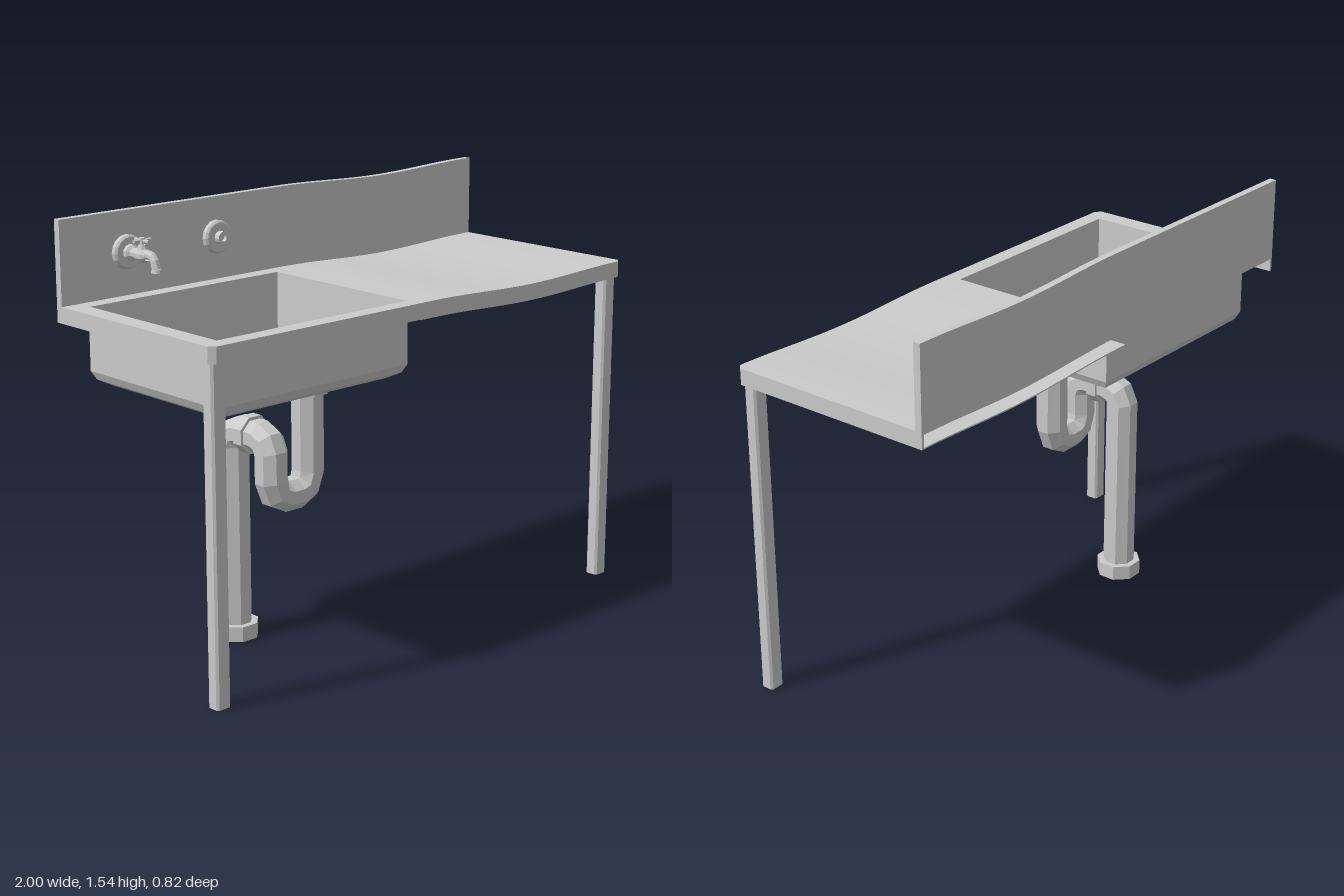
import * as THREE from 'three';

const mat = new THREE.MeshStandardMaterial({ color: 0xcccccc, flatShading: true, side: THREE.DoubleSide });
const OCT = 1 / Math.cos(Math.PI / 8);

function add(parent, name, geo, x = 0, y = 0, z = 0) {
  const m = new THREE.Mesh(geo, mat);
  m.name = name;
  m.position.set(x, y, z);
  parent.add(m);
  return m;
}

// Sag of the right half of the worktop, and chamfered front corners
function bend(geo) {
  const p = geo.attributes.position;
  for (let i = 0; i < p.count; i++) {
    const x = p.getX(i);
    if (x > 0) p.setY(i, p.getY(i) - 0.0075 * (1 - Math.cos(2 * Math.PI * x)));
    p.setZ(i, Math.min(p.getZ(i), 0.41 - Math.max(0, Math.abs(x) - 0.98)));
  }
  geo.computeVertexNormals();
  return geo;
}

// Box given by its limits, cut in x so that it can bend
function sheet(x0, x1, y0, y1, z0, z1, seg = Math.max(1, Math.round((x1 - x0) / 0.02))) {
  const g = new THREE.BoxGeometry(x1 - x0, y1 - y0, z1 - z0, seg, 1, 1);
  g.translate((x0 + x1) / 2, (y0 + y1) / 2, (z0 + z1) / 2);
  return bend(g);
}

const poly = (pts) => pts.map(([x, y]) => new THREE.Vector2(x, y));

// Plan outline (x, z) extruded upwards
function plan(outer, hole, h) {
  const s = new THREE.Shape(poly(outer.map(([x, z]) => [x, -z])));
  s.holes.push(new THREE.Path(poly(hole.map(([x, z]) => [x, -z]))));
  return new THREE.ExtrudeGeometry(s, { depth: h, bevelEnabled: false }).rotateX(-Math.PI / 2);
}

// Rectangular loft through [inset, height] sections
function rectLoft(hx, hz, sections) {
  const pos = [];
  const corners = [[1, 1], [1, -1], [-1, -1], [-1, 1]];
  const pt = ([inset, y], k) => {
    const [sx, sz] = corners[k % 4];
    return [sx * Math.max(0, hx - inset), y, sz * Math.max(0, hz - inset)];
  };
  for (let i = 0; i < sections.length - 1; i++) {
    for (let k = 0; k < 4; k++) {
      const a = pt(sections[i], k), b = pt(sections[i], k + 1);
      const c = pt(sections[i + 1], k + 1), d = pt(sections[i + 1], k);
      pos.push(...a, ...d, ...b, ...b, ...d, ...c);
    }
  }
  const g = new THREE.BufferGeometry();
  g.setAttribute('position', new THREE.Float32BufferAttribute(pos, 3));
  g.computeVertexNormals();
  return g;
}

// Curve with one ring exactly at every given point
class PointPath extends THREE.Curve {
  constructor(pts) {
    super();
    this.pts = pts.map((p) => new THREE.Vector3(...p));
  }
  getPointAt(u) {
    return this.pts[Math.round(u * (this.pts.length - 1))].clone();
  }
  getTangentAt(u) {
    const n = this.pts.length - 1, i = Math.round(u * n);
    const dir = (a, b) => this.pts[b].clone().sub(this.pts[a]).normalize();
    const t = new THREE.Vector3();
    if (i > 0) t.add(dir(i - 1, i));
    if (i < n) t.add(dir(i, i + 1));
    return t.normalize();
  }
  computeFrenetFrames(n, closed) {
    const f = super.computeFrenetFrames(n, closed);
    f.tangents.forEach((t, i) => {
      f.normals[i].applyAxisAngle(t, Math.PI / 8);
      f.binormals[i].applyAxisAngle(t, Math.PI / 8);
    });
    return f;
  }
}
const pipe = (pts, r) => new THREE.TubeGeometry(new PointPath(pts), pts.length - 1, r * OCT, 8);

// Octagonal ring with an open bore, standing on y = 0
function collar(r, bore, h) {
  const pts = poly([[bore, 0], [r * OCT, 0], [r * OCT, h], [bore, h]]);
  return new THREE.LatheGeometry(pts, 8).rotateY(Math.PI / 8);
}

// Turned part pointing to the front: [radius, distance] profile
const turned = (pts, n = 16) => new THREE.LatheGeometry(poly(pts), n).rotateX(Math.PI / 2);

export function createModel() {
  const root = new THREE.Group();
  root.name = 'sinkUnit';

  // Worktop: framed opening on one half, sagging board on the other, open at the back
  const top = new THREE.Group();
  top.name = 'worktop';
  root.add(top);
  const frame = plan(
    [[-1, -0.41], [0, -0.41], [0, 0.41], [-0.98, 0.41], [-1, 0.39]],
    [[-0.93, -0.326], [-0.93, 0.352], [-0.075, 0.352], [-0.075, -0.326]], 0.01);
  add(top, 'basinSurround', frame, 0, 1.23, 0);
  add(top, 'drainingBoard', sheet(0, 1, 1.23, 1.24, -0.41, 0.41));
  add(top, 'underside', sheet(-0.07, 1, 1.18, 1.185, -0.41, 0.41, 107));
  add(top, 'frontApron', sheet(-1, 1, 1.182, 1.23, 0.4, 0.41));
  for (const s of [-1, 1]) {
    add(top, 'sideApron', sheet(Math.min(s, s * 0.99), Math.max(s, s * 0.99), 1.182, 1.23, -0.41, 0.41, 1));
  }
  add(top, 'backsplash', sheet(-1, 1, 1.24, 1.54, -0.41, -0.383));

  // Basin: inner floor, inner wall, rim, outer wall, outer floor
  add(root, 'basin', rectLoft(0.4275, 0.339, [
    [1, 0.98], [0.058, 0.98], [0.006, 1.03], [0.004, 1.24], [0, 1.24],
    [0, 1.015], [0.015, 0.985], [0.052, 0.965], [1, 0.965],
  ]), -0.5025, 0, 0.013);

  // Front legs: hollow square tube with chamfered edges
  const ring = (a, b, c) => [[a, b - c], [a - c, b], [c - a, b], [-a, b - c], [-a, c - b], [c - a, -b], [a - c, -b], [a, c - b]];
  for (const s of [-1, 1]) {
    add(root, 'frontLeg', plan(ring(0.03, 0.026, 0.008), ring(0.024, 0.02, 0.006), 1.185), s * 0.957, 0, 0.367);
  }

  // Waste pipe: drop, trap, elbow and standpipe
  const drain = new THREE.Group();
  drain.name = 'drain';
  root.add(drain);
  const xa = -0.323, xb = -0.494, zf = 0.108, zb = -0.095;
  add(drain, 'wastePipe', pipe([
    [xa, 0.95, zf], [xa, 0.63, zf], [xa - 0.018, 0.58, zf], [xa - 0.058, 0.562, zf],
    [xb + 0.058, 0.562, zf], [xb + 0.018, 0.58, zf], [xb, 0.63, zf],
    [xb, 0.725, zf], [xb, 0.76, zf - 0.015], [xb, 0.775, zf - 0.05],
    [xb, 0.775, -0.04], [xb, 0.76, -0.078], [xb, 0.72, zb], [xb, 0.005, zb],
  ], 0.056));
  add(drain, 'outletCollar', collar(0.071, 0.05, 0.05), xa, 0.915, zf);
  add(drain, 'jointCollar', collar(0.066, 0.05, 0.042).rotateX(Math.PI / 2), xb, 0.775, -0.016);
  add(drain, 'floorCollar', collar(0.078, 0.057, 0.056), xb, 0, zb);

  // Wall plates, the second one with a capped outlet
  const plate = [[0, 0], [0.061, 0], [0.061, 0.018], [0.054, 0.025], [0, 0.025]];
  add(root, 'tapPlate', turned(plate), -0.722, 1.395, -0.385);
  add(root, 'blankPlate', turned(plate), -0.318, 1.395, -0.385);
  add(root, 'blankOutlet', turned([[0.024, 0], [0.024, 0.025], [0.013, 0.025], [0.013, 0.01], [0, 0.01]], 12), -0.318, 1.395, -0.362);

  // Tap: body, curved spout and cross handle
  const tap = new THREE.Group();
  tap.name = 'tap';
  tap.position.set(-0.722, 1.395, -0.29);
  root.add(tap);
  add(tap, 'tapBody', turned([[0.03, -0.075], [0.03, -0.055], [0.02, -0.045], [0.021, -0.025], [0.027, -0.005], [0.025, 0.015], [0.017, 0.03]], 10));
  add(tap, 'spout', pipe([[0, 0.002, 0.01], [0, 0.006, 0.035], [0, 0.002, 0.055], [0, -0.012, 0.068], [0, -0.04, 0.076]], 0.015));
  add(tap, 'spoutRing', new THREE.CylinderGeometry(0.017, 0.02, 0.012, 10), 0, -0.044, 0.076);
  add(tap, 'bonnet', new THREE.CylinderGeometry(0.013, 0.02, 0.018, 8), 0, 0.028, 0);
  add(tap, 'stem', new THREE.CylinderGeometry(0.007, 0.007, 0.04, 8), 0, 0.04, 0);
  add(tap, 'handleHub', new THREE.CylinderGeometry(0.01, 0.012, 0.018, 8), 0, 0.053, 0);
  for (let i = 0; i < 4; i++) {
    const spoke = new THREE.CylinderGeometry(0.007, 0.005, 0.034, 6).rotateX(Math.PI / 2).translate(0, 0, 0.02);
    add(tap, 'handleSpoke', spoke.rotateY(i * Math.PI / 2), 0, 0.051, 0);
  }
  return root;
}
